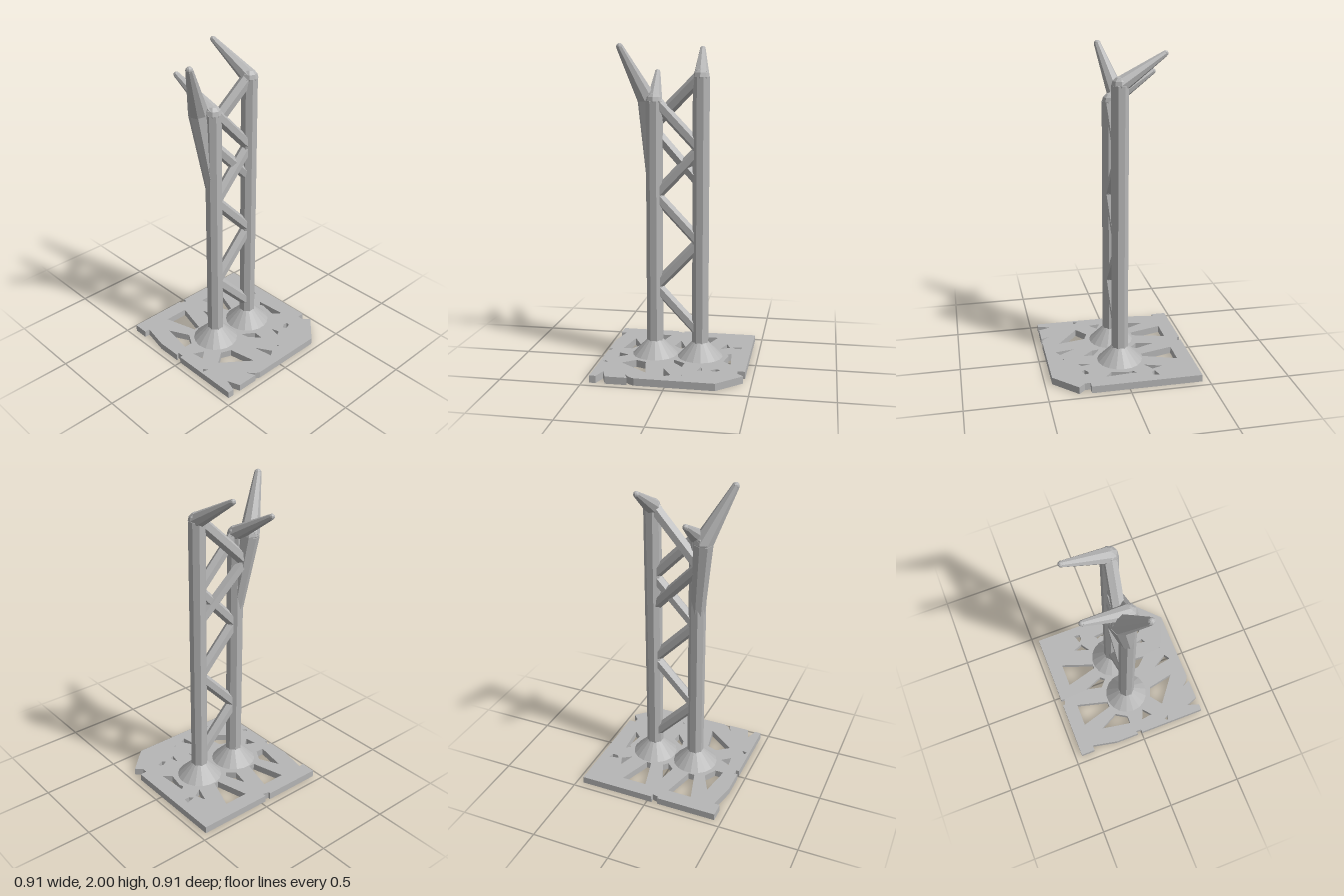
import * as THREE from 'three';

export function createModel() {
  const model = new THREE.Group();
  const grey = new THREE.MeshStandardMaterial({ color: 0xb6b6b6 });
  grey.flatShading = true;

  const add = (name, geometry) => {
    const mesh = new THREE.Mesh(geometry, grey);
    mesh.name = name;
    model.add(mesh);
    return mesh;
  };
  const V = (p) => new THREE.Vector3(...p);
  const UP = new THREE.Vector3(0, 1, 0);

  // Faceted bar between two points, optionally tapered
  const bar = (name, a, b, r0, r1 = r0, sides = 8) => {
    const dir = V(b).sub(V(a));
    const mesh = add(name, new THREE.CylinderGeometry(r1, r0, dir.length(), sides));
    mesh.position.copy(V(a)).addScaledVector(dir, 0.5);
    mesh.quaternion.setFromUnitVectors(UP, dir.normalize());
    return mesh;
  };
  const ball = (name, p, r) => add(name, new THREE.SphereGeometry(r, 8, 6)).position.set(...p);

  // Base plate with broken edges and scattered cut-outs, points are [x, z]
  const toPoints = (list) => list.map(([x, z]) => new THREE.Vector2(x, z));
  const outline = [
    [-0.455, -0.455], [0.235, -0.455], [0.235, -0.41], [0.27, -0.41], [0.31, -0.45], [0.455, -0.3],
    [0.455, 0.185], [0.44, 0.215], [0.4, 0.25], [0.455, 0.225], [0.455, 0.36], [0.375, 0.39],
    [0.455, 0.415], [0.455, 0.455], [0, 0.455], [0, 0.435], [-0.04, 0.435], [-0.03, 0.455],
    [-0.19, 0.455], [-0.36, 0.42], [-0.36, 0.455], [-0.455, 0.455], [-0.455, 0.07],
    [-0.44, 0.07], [-0.43, 0.03], [-0.455, 0.03],
  ];
  const holes = [
    [[-0.2, -0.395], [-0.16, -0.39], [-0.16, -0.355], [-0.18, -0.335]],
    [[-0.24, -0.29], [-0.175, -0.315], [-0.135, -0.255]],
    [[-0.065, -0.34], [0.13, -0.355], [0.085, -0.305], [-0.02, -0.325], [-0.045, -0.315]],
    [[0.23, -0.3], [0.25, -0.3], [0.265, -0.26], [0.245, -0.245], [0.225, -0.275]],
    [[0.2, -0.18], [0.255, -0.195], [0.27, -0.165]],
    [[-0.36, -0.215], [-0.15, -0.14], [-0.15, -0.11], [-0.36, -0.055]],
    [[-0.26, 0.02], [-0.135, -0.03], [-0.105, -0.005], [-0.15, 0.045]],
    [[-0.36, 0.105], [-0.15, 0.16], [-0.15, 0.2], [-0.36, 0.26]],
    [[-0.255, 0.33], [-0.13, 0.265], [-0.055, 0.31], [-0.055, 0.365]],
    [[0.035, 0.37], [0.065, 0.305], [0.11, 0.36]],
    [[0.15, 0.235], [0.175, 0.17], [0.35, 0.135], [0.21, 0.315]],
    [[0.105, 0.005], [0.155, -0.07], [0.22, -0.065], [0.155, -0.005]],
    [[0.265, 0.04], [0.365, -0.02], [0.39, 0.02]],
    [[0.185, 0.425], [0.215, 0.405], [0.205, 0.44]],
    [[0.345, -0.085], [0.36, -0.09], [0.355, -0.078]],
  ];
  const plate = new THREE.Shape(toPoints(outline));
  holes.forEach((h) => plate.holes.push(new THREE.Path(toPoints(h))));
  const plateGeometry = new THREE.ExtrudeGeometry(plate, { depth: 0.045, bevelEnabled: false });
  plateGeometry.rotateX(Math.PI / 2).translate(0, 0.045, 0);
  add('basePlate', plateGeometry);

  // Two uprights, each with a conical foot and a tapered side spike
  for (const [side, z, top] of [['front', 0.145, 1.65], ['rear', -0.145, 1.795]]) {
    const foot = new THREE.CylinderGeometry(0.05, 0.143, 0.095, 18);
    add(side + 'Foot', foot).position.set(0, 0.0925, z);
    const post = bar(side + 'Post', [0, 0.045, z], [0, top, z], 0.053);
    post.rotateY(Math.PI / 8);
    const tip = [-0.275, top + 0.17, z + 0.033];
    ball(side + 'Elbow', [0, top, z], 0.052);
    bar(side + 'Spike', [0, top, z], tip, 0.05, 0.018);
    ball(side + 'SpikeTip', tip, 0.018);
  }

  // Bent horn growing out of the front post
  const bend = [-0.062, 1.65, 0.2], hornTip = [0.04, 1.975, 0.348];
  bar('hornLower', [0, 1.15, 0.147], bend, 0.046, 0.062);
  ball('hornBend', bend, 0.061);
  bar('hornUpper', bend, hornTip, 0.061, 0.022);
  ball('hornTip', hornTip, 0.022);

  // Zigzag bracing between the uprights
  for (let i = 0; i < 5; i++) {
    const node = (k) => [0, 0.2 + 0.29 * k, k % 2 ? 0.135 : -0.14];
    bar('brace', node(i), node(i + 1), 0.037, 0.037, 6);
  }

  // Two upper braces from the horn back to the rear post
  const hornNode = [-0.05, 1.49, 0.175];
  bar('upperBrace', hornNode, [0, 1.8, -0.14], 0.04, 0.04, 6);
  bar('upperBrace', hornNode, [0, 1.15, -0.14], 0.037, 0.037, 6);

  return model;
}
